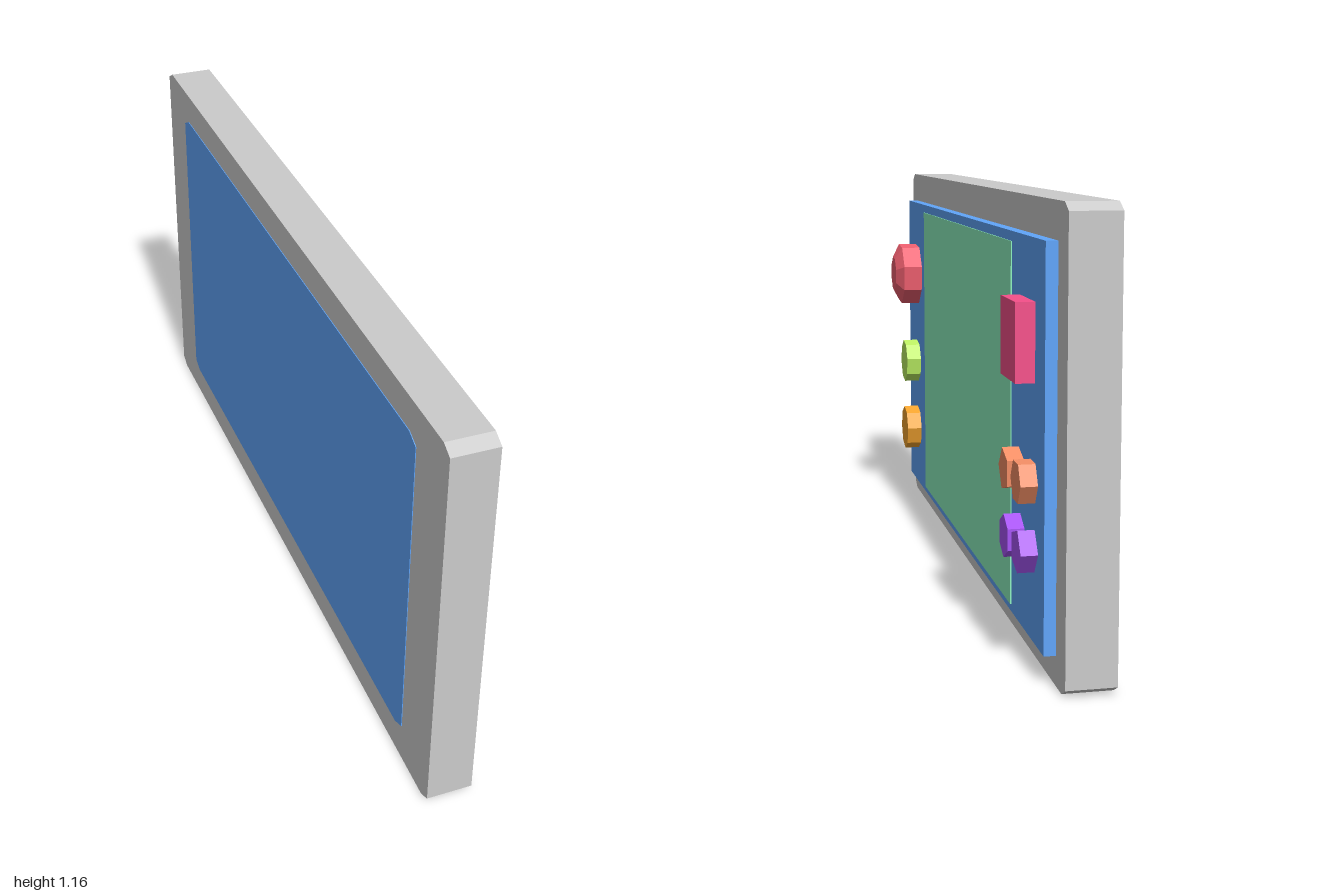
import * as THREE from 'three';

const H = 1.157;        // slab height
const FACE = 0.097;     // front face of the control panel

function mat(color) {
  return new THREE.MeshStandardMaterial({ color, flatShading: true });
}

// Rectangular plate with clipped corners, between depths z0 and z1
function plate(name, x0, x1, y0, y1, z0, z1, cx, cy, color) {
  const s = new THREE.Shape();
  const pts = [
    [x0 + cx, y0], [x1 - cx, y0], [x1, y0 + cy], [x1, y1 - cy],
    [x1 - cx, y1], [x0 + cx, y1], [x0, y1 - cy], [x0, y0 + cy],
  ];
  s.setFromPoints(pts.map(([x, y]) => new THREE.Vector2(x, y)));
  const geo = new THREE.ExtrudeGeometry(s, { depth: z1 - z0, bevelEnabled: false });
  geo.translate(0, 0, z0);
  const mesh = new THREE.Mesh(geo, mat(color));
  mesh.name = name;
  return mesh;
}

function box(name, x, y, z0, z1, w, h, color) {
  const mesh = new THREE.Mesh(new THREE.BoxGeometry(w, h, z1 - z0), mat(color));
  mesh.position.set(x, y, (z0 + z1) / 2);
  mesh.name = name;
  return mesh;
}

// Faceted button turned from a radius/height profile, facing forward
function button(name, x, y, profile, sides, turn, color) {
  const pts = profile.map(([r, h]) => new THREE.Vector2(r, h));
  const geo = new THREE.LatheGeometry(pts, sides);
  geo.rotateX(Math.PI / 2);
  const mesh = new THREE.Mesh(geo, mat(color));
  mesh.position.set(x, y, FACE - 0.005);
  mesh.rotation.z = turn;
  mesh.name = name;
  return mesh;
}

const peg = (r, h) => [[r, 0], [r, h], [0, h]];

export function createModel() {
  const model = new THREE.Group();
  model.name = 'handheldDevice';

  // Everything is laid out facing +z, then the device is turned
  const device = new THREE.Group();
  device.name = 'device';
  device.rotation.y = THREE.MathUtils.degToRad(120.8);
  model.add(device);

  // Casing, front control panel, screen and back cover
  device.add(
    plate('casing', -1.124, 1.124, 0, H, -0.064, 0.064, 0.036, 0.02, 0xcccccc),
    box('controlPanel', 0, 0.57, 0.06, FACE - 0.003, 2.064, 0.99, 0x60a5fa),
    box('screen', -0.009, 0.567, 0.08, FACE, 1.366, 0.945, 0x8ef3c0),
    plate('backCover', -0.947, 0.947, 0.095, 1.065, -0.066, -0.05, 0.04, 0.02, 0x60a5fa),
  );

  // Left-hand controls: domed thumb stick and two round buttons
  device.add(
    button('thumbStick', -0.858, 0.82, [[0.105, 0], [0.105, 0.062], [0.06, 0.085], [0, 0.085]], 8, 0.3, 0xf06070),
    button('limeButton', -0.862, 0.513, peg(0.072, 0.05), 8, 0.2, 0xbef264),
    button('amberButton', -0.862, 0.275, peg(0.074, 0.05), 8, 0.1, 0xf5a530),
  );

  // Right-hand controls: square pad and four small buttons
  device.add(box('squarePad', 0.85, 0.817, 0.08, 0.143, 0.165, 0.195, 0xf5508a));
  [0.772, 0.912].forEach((x, i) => {
    device.add(
      button('coralButton', x, 0.477, peg(0.056, 0.045), i ? 6 : 5, i ? 0.5 : 0.9, 0xf58f66),
      button('purpleButton', x + 0.004, 0.308, peg(0.056, 0.045), i ? 5 : 6, i ? 0.3 : 0, 0xa855f7),
    );
  });

  return model;
}
